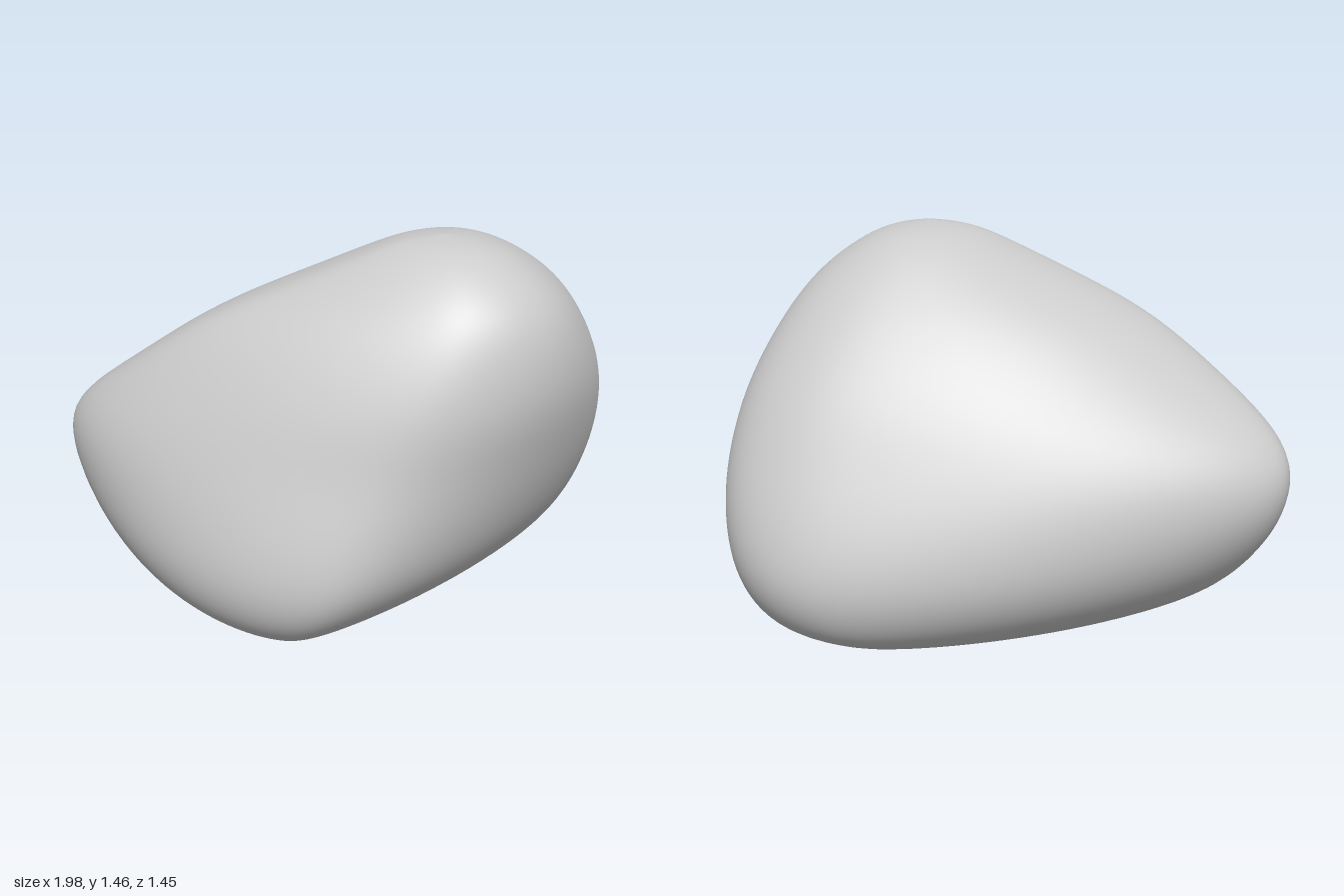
import * as THREE from 'three';

// Height rows: y, left x/z, front x/z, right x/z, back x/z (the four outermost points of each level)
const ROWS = [
  [0.00, -0.18, 0.10, -0.18, 0.10, -0.18, 0.10, -0.18, 0.10],
  [0.010, -0.34, 0.08, -0.17, 0.27, 0.06, 0.00, -0.05, -0.10],
  [0.045, -0.47, 0.04, -0.18, 0.42, 0.46, -0.22, 0.30, -0.43],
  [0.10, -0.60, 0.00, -0.17, 0.54, 0.78, -0.32, 0.44, -0.60],
  [0.20, -0.77, -0.06, -0.13, 0.67, 0.91, -0.32, 0.48, -0.70],
  [0.36, -0.91, -0.12, -0.05, 0.745, 0.98, -0.30, 0.50, -0.745],
  [0.56, -1.00, -0.18, 0.03, 0.725, 1.01, -0.24, 0.50, -0.69],
  [0.76, -0.99, -0.14, 0.14, 0.685, 1.00, -0.15, 0.48, -0.60],
  [0.96, -0.75, 0.03, 0.25, 0.67, 0.95, -0.05, 0.45, -0.50],
  [1.16, -0.48, 0.13, 0.33, 0.615, 0.85, 0.06, 0.42, -0.35],
  [1.30, -0.16, 0.19, 0.37, 0.54, 0.74, 0.13, 0.40, -0.21],
  [1.40, 0.07, 0.21, 0.37, 0.42, 0.60, 0.18, 0.38, -0.08],
  [1.447, 0.20, 0.20, 0.36, 0.31, 0.48, 0.19, 0.36, 0.05],
  [1.463, 0.35, 0.19, 0.35, 0.19, 0.35, 0.19, 0.35, 0.19],
];

// Roundness of the four quarters (left front, right front, right back, left back)
// from base to crown: above 1 is flatter, below 1 is fuller
const ROUNDNESS = [
  [1.2, 1.15, 1.22, 1.45, 1.1],
  [1.5, 1.65, 1.2, 0.87, 1.0],
  [1.0, 1.0, 0.84, 0.9, 1.0],
  [1.5, 1.4, 1.1, 1.0, 1.15],
];

const spline = points => new THREE.CatmullRomCurve3(points, false, 'catmullrom', 0.5);

export function createModel() {
  // Four guide curves running from the base to the crown
  const guides = [1, 3, 5, 7].map(k => spline(ROWS.map(r => new THREE.Vector3(r[k], r[0], r[k + 1]))));
  const bends = ROUNDNESS.map(list => spline(list.map(e => new THREE.Vector3(e, 0, 0))));

  const rings = 78, per = 24, around = per * 4;
  const positions = [], index = [];
  for (let i = 0; i <= rings; i++) {
    const t = i / rings;
    const [left, front, right, back] = guides.map(g => g.getPoint(t));
    // Each quarter bends from one guide to the next
    const arcs = [[left, front], [right, front], [right, back], [left, back]];
    arcs.forEach(([side, end], q) => {
      const e = bends[q].getPoint(t).x;
      for (let j = 0; j < per; j++) {
        const f = j / per, a = (q % 2 ? 1 - f : f) * Math.PI / 2;
        const c = Math.pow(Math.max(0, Math.cos(a)), e);
        const s = Math.pow(Math.max(0, Math.sin(a)), e);
        positions.push(end.x + (side.x - end.x) * c, side.y, side.z + (end.z - side.z) * s);
      }
    });
  }
  for (let i = 0; i < rings; i++) {
    for (let j = 0; j < around; j++) {
      const a = i * around + j, b = i * around + (j + 1) % around;
      // The first and last rings are single points, so they take one triangle per step
      if (i > 0) index.push(a, b, a + around);
      if (i < rings - 1) index.push(b, b + around, a + around);
    }
  }

  // Ease out the seams between the quarters
  for (let pass = 0; pass < 24; pass++) {
    const old = positions.slice();
    for (let i = 1; i < rings; i++) {
      for (let j = 0; j < around; j++) {
        const at = (u, v) => (u * around + (v + around) % around) * 3;
        for (let k = 0; k < 3; k++) {
          const mean = (old[at(i, j - 1) + k] + old[at(i, j + 1) + k] + old[at(i - 1, j) + k] + old[at(i + 1, j) + k]) / 4;
          positions[at(i, j) + k] = (old[at(i, j) + k] + mean) / 2;
        }
      }
    }
  }

  const geometry = new THREE.BufferGeometry();
  geometry.setAttribute('position', new THREE.Float32BufferAttribute(positions, 3));
  geometry.setIndex(index);
  geometry.computeVertexNormals();

  const rock = new THREE.Mesh(geometry, new THREE.MeshStandardMaterial({ color: 0xcccccc }));
  rock.name = 'rock';
  const group = new THREE.Group();
  group.name = 'boulder';
  group.add(rock);
  return group;
}
